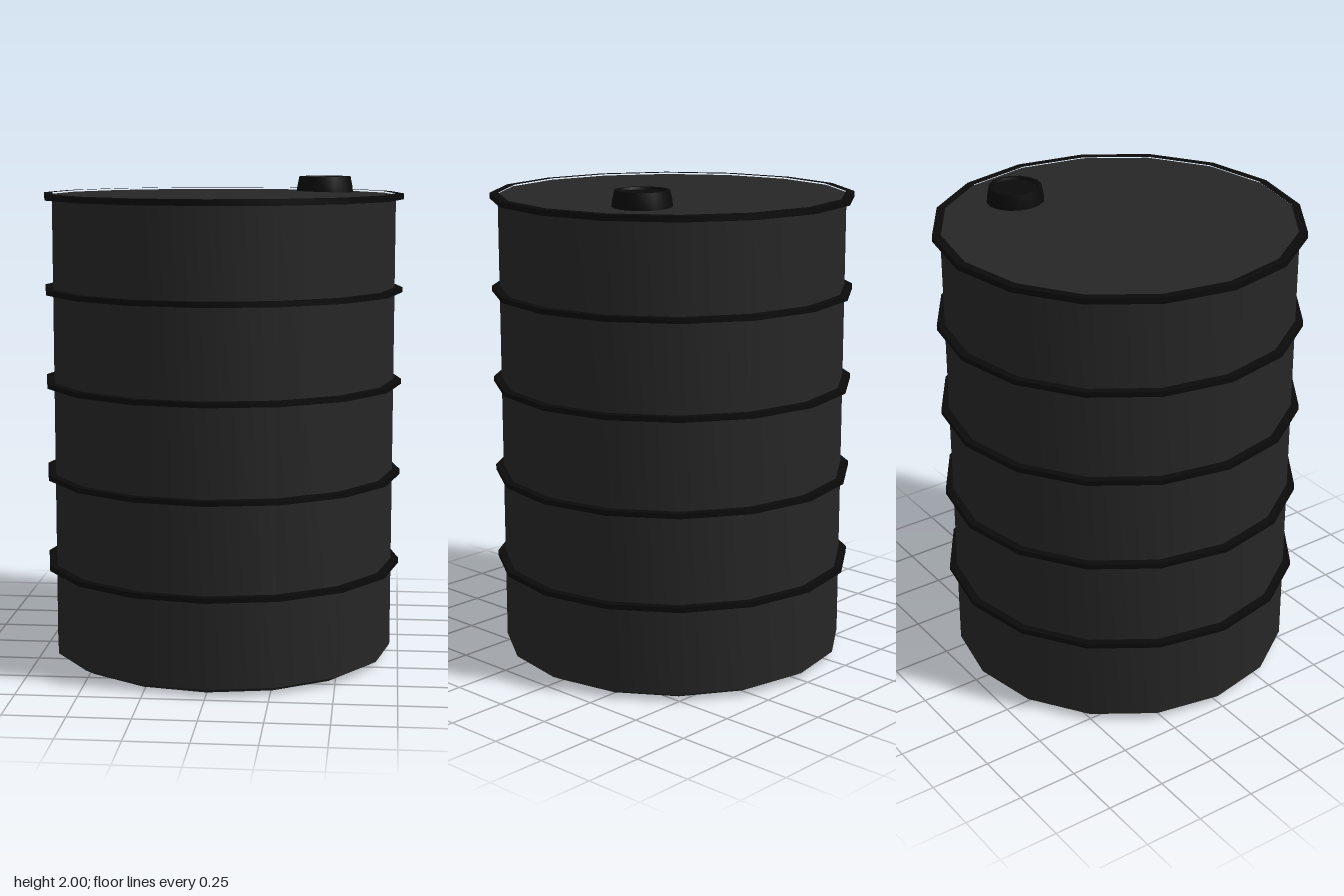
import * as THREE from 'three';
import { toCreasedNormals } from 'three/addons/utils/BufferGeometryUtils.js';

const SIDES = 16;
const shellMaterial = new THREE.MeshStandardMaterial({ color: 0x262626 });
const trimMaterial = new THREE.MeshStandardMaterial({ color: 0x0a0a0a });

// Revolve a [radius, height] profile listed from bottom to top on the outside
function turned(name, profile, material, creaseAngle = 0.5) {
  const points = profile.map(([r, y]) => new THREE.Vector2(r, y));
  const geometry = toCreasedNormals(new THREE.LatheGeometry(points, SIDES), creaseAngle);
  const mesh = new THREE.Mesh(geometry, material);
  mesh.name = name;
  return mesh;
}

export function createModel() {
  const model = new THREE.Group();
  model.name = 'drum';

  // Shell with chamfered foot and straight wall
  model.add(turned('shell', [[0.67, 0.006], [0.715, 0.03], [0.715, 1.93]], shellMaterial));

  // Slightly bulged base and lid
  model.add(turned('base', [[0, 0], [0.67, 0.006]], shellMaterial));
  model.add(turned('lid', [[0.72, 1.93], [0, 1.948]], shellMaterial));

  // Four hoops around the wall and the rim at the top
  const hoop = (name, y, height) => {
    const [lo, hi] = [y - height / 2, y + height / 2];
    model.add(turned(name,
      [[0.712, lo], [0.747, lo], [0.747, hi], [0.712, hi]], trimMaterial));
  };
  for (let i = 0; i < 4; i++) hoop(`hoop${i + 1}`, 0.396 + i * 0.382, 0.021);
  hoop('rim', 1.925, 0.024);

  // Tapered filler cap with a shallow recess in its top
  const cap = turned('fillerCap', [
    [0.119, 1.925], [0.117, 1.955], [0.108, 2], [0.095, 2], [0.092, 1.99], [0, 1.99],
  ], trimMaterial);
  cap.position.set(0.415, 0, -0.225);
  model.add(cap);

  return model;
}
